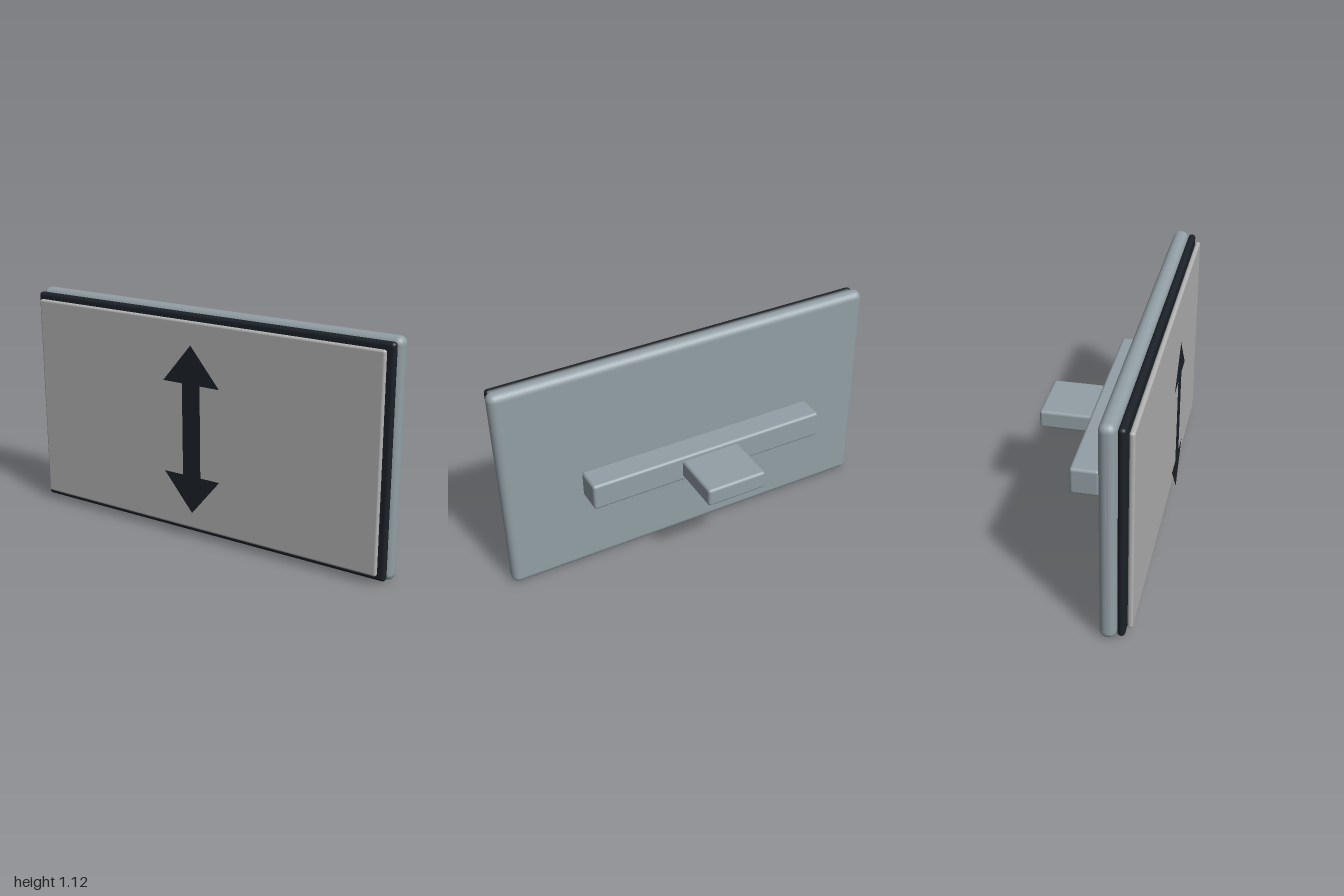
import * as THREE from 'three';
import { RoundedBoxGeometry } from 'three/addons/geometries/RoundedBoxGeometry.js';

const material = (color) => new THREE.MeshStandardMaterial({ color });

// Rounded box spanning the given y and z ranges, centred on x = 0
function roundedBox(name, width, [y0, y1], [z0, z1], radius, mat) {
  const geometry = new RoundedBoxGeometry(width, y1 - y0, z1 - z0, 3, radius);
  const mesh = new THREE.Mesh(geometry, mat);
  mesh.name = name;
  mesh.position.set(0, (y0 + y1) / 2, (z0 + z1) / 2);
  return mesh;
}

// Flat vertical double-headed arrow, centred on its own origin
function doubleArrow(halfHeight, headHeight, headHalfWidth, shaftHalfWidth, mat) {
  const neck = halfHeight - headHeight;
  const side = [[shaftHalfWidth, -neck], [shaftHalfWidth, neck], [headHalfWidth, neck]];
  const right = [[headHalfWidth, -neck], ...side, [0, halfHeight]];
  const left = right.map(([x, y]) => [-x, -y]);
  const shape = new THREE.Shape([...right, ...left].map(([x, y]) => new THREE.Vector2(x, y)));
  const mesh = new THREE.Mesh(new THREE.ShapeGeometry(shape), mat);
  mesh.name = 'arrow';
  return mesh;
}

export function createModel() {
  const model = new THREE.Group();
  model.name = 'wallPanel';
  const casing = material(0x929fa5);
  const dark = material(0x1c2229);
  const face = material(0xb2b2b2);
  const arrowMaterial = material(0x1c2229);
  arrowMaterial.side = THREE.DoubleSide;

  // Layered panel, from back to front
  model.add(roundedBox('backPanel', 2, [0, 1.125], [0.141, 0.219], 0.036, casing));
  model.add(roundedBox('darkFrame', 1.97, [0.015, 1.11], [0.222, 0.258], 0.017, dark));
  model.add(roundedBox('frontFace', 1.91, [0.047, 1.08], [0.263, 0.288], 0.011, face));

  // Arrow floating ahead of the face
  const arrow = doubleArrow(0.415, 0.188, 0.157, 0.05, arrowMaterial);
  arrow.position.set(0, 0.565, 0.33);
  model.add(arrow);

  // Mount behind the panel
  model.add(roundedBox('mountBar', 1.25, [0.495, 0.633], [-0.07, 0.07], 0.015, casing));
  model.add(roundedBox('mountBlock', 0.31, [0.517, 0.611], [-0.33, -0.05], 0.015, casing));

  return model;
}
